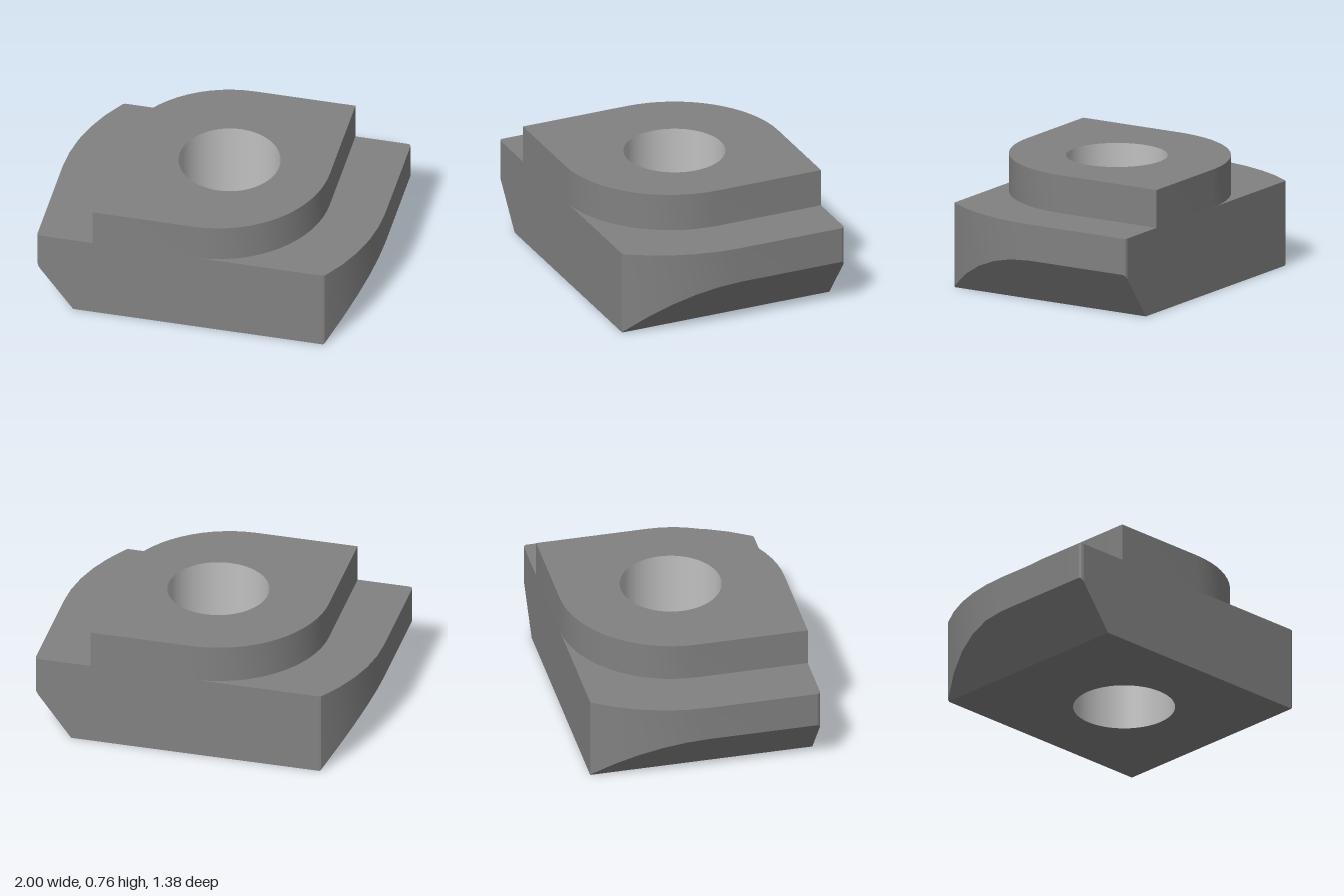
import * as THREE from 'three';
import { toCreasedNormals } from 'three/addons/utils/BufferGeometryUtils.js';

const STEP = 0.525, TOP = 0.76, DEPTH = 0.688;
const FOOT = 0.775, KNEE = 0.3, SLOPE = 0.75; // underside chamfer: |x| = FOOT + SLOPE * y
const HOLE_X = 0.035, HOLE_R = 0.308;

// Base plan as [x, z]: one half, then the same half turned by 180 degrees
function basePlan() {
  const half = [[0.98, -DEPTH], [0.994, -DEPTH + 0.006], [1, -DEPTH + 0.02]];
  const R = 1.176, end = Math.asin(0.672 / R), steps = 5;
  for (let i = 0; i <= steps; i++) {
    const a = (end * i) / steps;
    half.push([1 - R + R * Math.cos(a), R * Math.sin(a)]);
  }
  half.push([0.781, DEPTH - 0.004], [0.768, DEPTH], [-FOOT, DEPTH]);
  return [...half, ...half.map(([x, z]) => [-x, -z])];
}

// Raised block plan as [x, z], with two opposite rounded corners
function blockPlan() {
  const c = 0.033, r = DEPTH, w = r - c;
  const s = new THREE.Shape();
  s.moveTo(-w, -r);
  s.lineTo(-c, -r);
  s.absarc(-c, 0, r, -Math.PI / 2, 0, false);
  s.lineTo(w, r);
  s.lineTo(c, r);
  s.absarc(c, 0, r, Math.PI / 2, Math.PI, false);
  return s.getPoints(8).reverse().map((p) => [p.x, -p.y]);
}

// Closed wall through columns of points, each running from top to bottom
function wall(columns) {
  const pos = [];
  const tri = (a, b, c) => {
    if (new THREE.Triangle(a, b, c).getArea() > 1e-7) {
      for (const p of [a, b, c]) pos.push(p.x, p.y, p.z);
    }
  };
  columns.forEach((a, i) => {
    const b = columns[(i + 1) % columns.length];
    for (let k = 0; k < a.length - 1; k++) {
      tri(a[k + 1], a[k], b[k]);
      tri(a[k + 1], b[k], b[k + 1]);
    }
  });
  const geo = new THREE.BufferGeometry();
  geo.setAttribute('position', new THREE.Float32BufferAttribute(pos, 3));
  return toCreasedNormals(geo, 0.2);
}

// Flat face with the bore cut out; side is 1 facing up, -1 facing down
function face(plan, y, side) {
  const shape = new THREE.Shape(plan.map(([x, z]) => new THREE.Vector2(x, -side * z)));
  const hole = new THREE.Path();
  hole.absarc(HOLE_X, 0, HOLE_R, 0, Math.PI * 2, true);
  shape.holes.push(hole);
  return new THREE.ShapeGeometry(shape, 32).rotateX((-side * Math.PI) / 2).translate(0, y, 0);
}

export function createModel() {
  const body = new THREE.MeshStandardMaterial({ color: 0x818181, side: THREE.DoubleSide });
  body.name = 'grey steel';
  const bright = new THREE.MeshStandardMaterial({ color: 0xc0c0c0, side: THREE.DoubleSide });
  bright.name = 'bright machined steel';

  const group = new THREE.Group();
  group.name = 'slotNut';
  const add = (name, geo, material = body) => {
    const mesh = new THREE.Mesh(geo, material);
    mesh.name = name;
    group.add(mesh);
  };

  // Base: upright walls, chamfered sides, ledge and underside
  const plan = basePlan();
  add('baseWalls', wall(plan.map(([x, z]) => {
    const knee = THREE.MathUtils.clamp((Math.abs(x) - FOOT) / SLOPE, 0, KNEE);
    return [
      new THREE.Vector3(x, STEP, z),
      new THREE.Vector3(x, knee, z),
      new THREE.Vector3(THREE.MathUtils.clamp(x, -FOOT, FOOT), 0, z),
    ];
  })));
  add('baseLedge', face(plan, STEP, 1));
  add('underside', face(plan.map(([x, z]) => [THREE.MathUtils.clamp(x, -FOOT, FOOT), z]), 0, -1));

  // Raised guide block
  const block = blockPlan();
  add('guideBlockWalls', wall(block.map(([x, z]) => [
    new THREE.Vector3(x, TOP, z), new THREE.Vector3(x, STEP, z),
  ])));
  add('guideBlockTop', face(block, TOP, 1));

  // Bore through the full height, facing inward
  const bore = new THREE.LatheGeometry(
    [new THREE.Vector2(HOLE_R, TOP), new THREE.Vector2(HOLE_R, 0)], 64);
  add('bore', bore.translate(HOLE_X, 0, 0), bright);
  return group;
}
